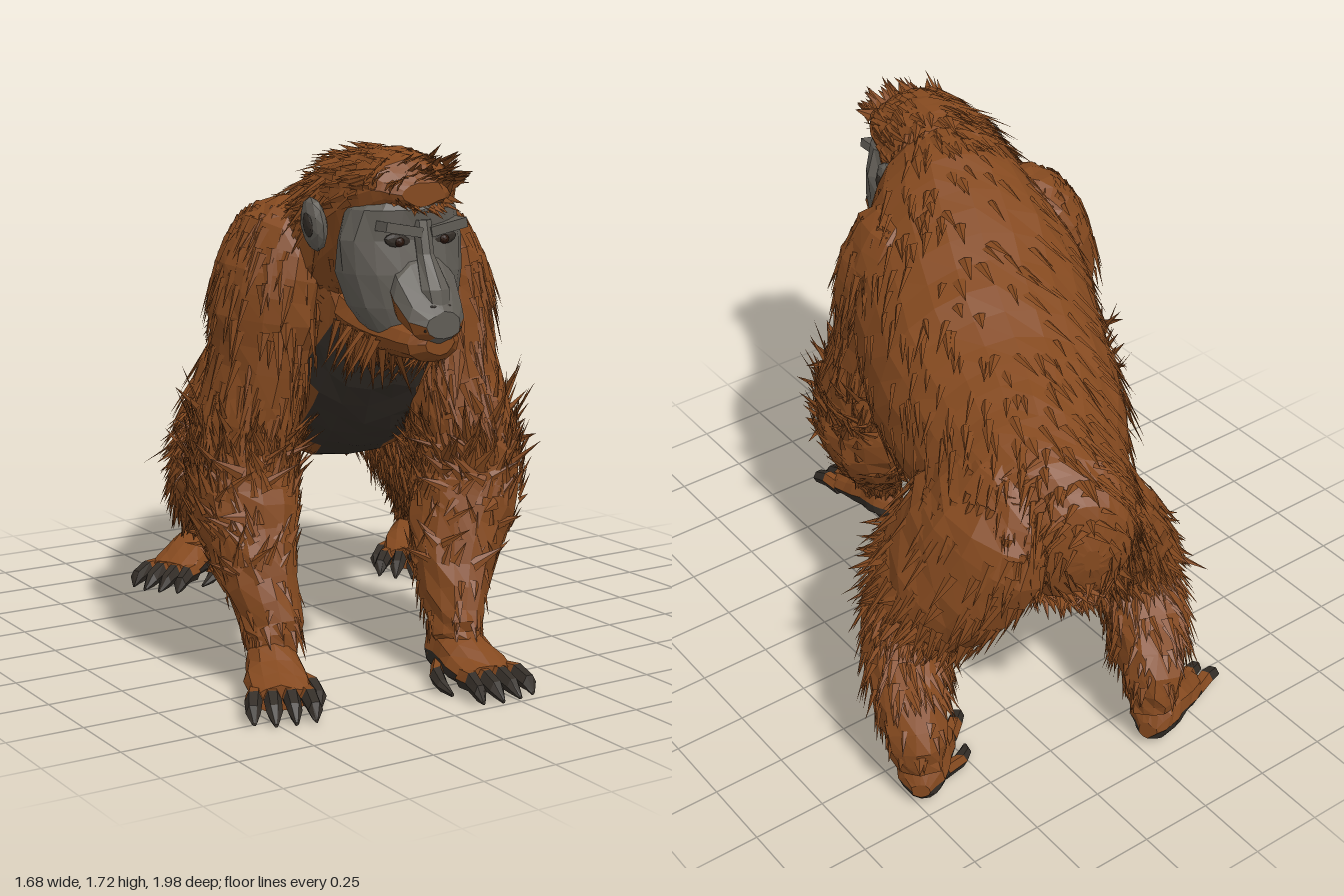
import * as THREE from 'three';

const mat = (name, color) => {
  const m = new THREE.MeshStandardMaterial({ color, flatShading: true, side: THREE.DoubleSide });
  m.name = name;
  return m;
};
const FUR = mat('orange fur', 0x84491f);
const SKIN = mat('grey face skin', 0x605c55);
const DARK = mat('dark skin', 0x332d27);
const EYE = mat('eye brown', 0x2a160c);

let seed = 7;
const rnd = () => ((seed = (seed * 16807) % 2147483647) / 2147483647);
const V = (x, y, z) => new THREE.Vector3(x, y, z);
const UP = V(0, 1, 0), FRONT = V(0, 0, 1);

const meshFrom = (name, pts, material) => {
  const g = new THREE.BufferGeometry().setFromPoints(pts);
  g.computeVertexNormals();
  const m = new THREE.Mesh(g, material);
  m.name = name;
  return m;
};

// Smooth surface through elliptical rings [x, y, z, halfWidth, halfDepth]
function surface(rings, ref, fixed) {
  const mid = new THREE.CatmullRomCurve3(rings.map(r => V(r[0], r[1], r[2])));
  const rad = new THREE.CatmullRomCurve3(rings.map(r => V(r[3], r[4], 0)));
  const at = (u, a) => {
    const c = mid.getPoint(u), r = rad.getPoint(u);
    const t = fixed ? fixed.clone() : mid.getTangent(u);
    const side = t.clone().cross(ref).normalize();
    const up = side.clone().cross(t).normalize();
    const p = c.clone().addScaledVector(side, r.x * Math.cos(a)).addScaledVector(up, r.y * Math.sin(a));
    const n = side.multiplyScalar(Math.cos(a) / r.x).addScaledVector(up, Math.sin(a) / r.y).normalize();
    return { p, n, t, c };
  };
  return { at, count: rings.length };
}

// Faceted skin over a surface; pick() chooses the faces of the second material
function skin(group, name, s, material, { sides = 14, steps = 3, rough = 0.006, pick, second } = {}) {
  const rows = (s.count - 1) * steps, grid = [], main = [], other = [];
  for (let i = 0; i <= rows; i++) {
    grid.push(Array.from({ length: sides }, (_, j) => {
      const q = s.at(i / rows, j / sides * Math.PI * 2);
      return q.p.addScaledVector(q.n, (rnd() - 0.5) * 2 * rough);
    }));
  }
  for (let j = 0; j < sides; j++) {
    const k = (j + 1) % sides;
    for (let i = 0; i < rows; i++) {
      const a = grid[i][j], b = grid[i + 1][j], c = grid[i + 1][k], d = grid[i][k];
      const out = pick && pick((i + 0.5) / rows, (j + 0.5) / sides * Math.PI * 2) ? other : main;
      out.push(a, b, c, a, c, d);
    }
    main.push(s.at(0, 0).c, grid[0][j], grid[0][k], s.at(1, 0).c, grid[rows][k], grid[rows][j]);
  }
  group.add(meshFrom(name, main, material));
  if (other.length) group.add(meshFrom(name + 'SecondColour', other, second));
}

// Pointed tufts of hair scattered over a surface
function tufts(group, name, s, count, o) {
  const { u = [0, 1], a = [0, Math.PI * 2], len = 0.1, wide = 0.017, lift = 0.2, dir = 1, fall = 0 } = o;
  const pts = [];
  for (let i = 0; i < count; i++) {
    const { p, n, t } = s.at(u[0] + rnd() * (u[1] - u[0]), a[0] + rnd() * (a[1] - a[0]));
    const flow = t.clone().multiplyScalar(dir).addScaledVector(UP, -fall)
      .add(V(rnd() - 0.5, rnd() - 0.5, rnd() - 0.5).multiplyScalar(0.5));
    flow.addScaledVector(n, -flow.dot(n)).normalize();
    const w = n.clone().cross(flow).multiplyScalar(wide * (0.7 + rnd() * 0.7));
    const tip = p.clone().addScaledVector(flow.addScaledVector(n, lift * (0.4 + rnd())), len * (0.6 + 0.6 * rnd()));
    const root = p.clone().addScaledVector(n, -0.004), ridge = p.clone().addScaledVector(n, 0.004);
    pts.push(root.clone().sub(w), tip, ridge, ridge, tip, root.clone().add(w));
  }
  group.add(meshFrom(name, pts, FUR));
}

// Long hand or foot with a dark sole and dark finger ends, pointing towards local +z
function paw(name, x, z, yaw, thumb, scale) {
  const g = new THREE.Group();
  g.name = name;
  g.position.set(x, 0, z);
  g.rotation.y = yaw;
  g.scale.set(1, 1, scale);
  const palm = surface([[0, 0.075, -0.11, 0.03, 0.03], [0, 0.095, -0.07, 0.075, 0.08], [0, 0.1, 0, 0.085, 0.09],
    [0, 0.08, 0.1, 0.1, 0.067], [0, 0.055, 0.21, 0.095, 0.04]], UP, FRONT);
  const under = (u, a) => Math.sin(a) < -0.1;
  skin(g, 'palm', palm, FUR, { sides: 12, steps: 2, pick: under, second: DARK });
  for (let i = 0; i < 4; i++) {
    const fx = (i - 1.5) * 0.05, end = 0.34 - Math.abs(i - 1.5) * 0.02;
    const toe = surface([[fx, 0.055, 0.16, 0.027, 0.034], [fx * 1.15, 0.06, 0.23, 0.027, 0.034],
      [fx * 1.25, 0.042, 0.29, 0.024, 0.028], [fx * 1.25, 0.014, end, 0.006, 0.006]], UP, FRONT);
    skin(g, 'toe', toe, DARK, { sides: 6, steps: 1, rough: 0.002, pick: (u, a) => u < 0.34 && !under(u, a), second: FUR });
  }
  const th = surface([[thumb * 0.06, 0.055, 0, 0.03, 0.035], [thumb * 0.115, 0.045, 0.07, 0.027, 0.03],
    [thumb * 0.13, 0.03, 0.13, 0.022, 0.022], [thumb * 0.125, 0.012, 0.18, 0.006, 0.006]], UP, FRONT);
  skin(g, 'thumb', th, DARK, { sides: 6, steps: 1, rough: 0.002, pick: (u, a) => u < 0.34 && !under(u, a), second: FUR });
  return g;
}

function limb(name, rings, isArm) {
  const g = new THREE.Group(), s = surface(rings, FRONT);
  g.name = name;
  skin(g, name + 'Form', s, FUR, { rough: 0.01 });
  tufts(g, 'upperHair', s, 300, { u: [0.06, 0.5], len: 0.14, lift: 0.1, fall: 0.5 });
  tufts(g, 'jointFlare', s, 110, { u: [0.45, 0.58], len: 0.11, lift: 0.5, dir: isArm ? -0.3 : 0.8 });
  tufts(g, 'shaggyHair', s, 260, { u: [0.5, 0.8], len: 0.1, lift: 0.25, dir: isArm ? -0.3 : 0.6, fall: isArm ? 0 : 0.4 });
  tufts(g, 'lowerHair', s, 50, { u: [0.78, 0.93], len: 0.07, lift: 0.1 });
  return g;
}

function makeHead() {
  const g = new THREE.Group();
  g.name = 'head';
  g.position.x = -0.27;
  const add = (name, geo, material, p, sc = [1, 1, 1], rz = 0) => {
    const m = new THREE.Mesh(geo, material);
    m.name = name;
    m.position.set(...p);
    m.scale.set(...sc);
    m.rotation.z = rz;
    g.add(m);
  };
  // Skull hair and fringe
  const skull = surface([[0, 1.575, 0.845, 0.08, 0.035], [0, 1.59, 0.79, 0.16, 0.085], [0, 1.52, 0.66, 0.19, 0.19],
    [0, 1.45, 0.52, 0.21, 0.24], [0, 1.4, 0.4, 0.22, 0.24]], UP, V(0, 0, -1));
  skin(g, 'skull', skull, FUR);
  tufts(g, 'crownHair', skull, 160, { u: [0.2, 1], a: [0, Math.PI], len: 0.1, lift: 0.08, fall: 0.3 });
  tufts(g, 'fringe', skull, 60, { u: [0, 0.3], a: [0.2, 2.9], len: 0.07, lift: 0.45, dir: -0.6 });
  tufts(g, 'browHair', skull, 24, { u: [0, 0.12], a: [3.6, 5.8], len: 0.06, lift: 0.4, dir: -0.6 });
  tufts(g, 'neckHair', skull, 140, { u: [0.62, 1], len: 0.14, lift: 0.08, fall: 2 });
  // Broad face disc
  const face = surface([[0, 1.58, 0.74, 0.12, 0.08], [0, 1.53, 0.73, 0.18, 0.125], [0, 1.44, 0.72, 0.21, 0.12],
    [0, 1.34, 0.72, 0.21, 0.14], [0, 1.24, 0.73, 0.175, 0.14], [0, 1.15, 0.75, 0.12, 0.11],
    [0, 1.1, 0.77, 0.07, 0.06]], FRONT, V(0, -1, 0));
  skin(g, 'face', face, SKIN, { sides: 16, steps: 1, rough: 0.006 });
  // Muzzle with orange whiskers at the sides, nose bridge and bearded jaw
  const muzzle = surface([[0, 1.34, 0.78, 0.1, 0.11], [0, 1.27, 0.86, 0.115, 0.115], [0, 1.21, 0.92, 0.1, 0.08],
    [0, 1.195, 0.955, 0.06, 0.04]], UP, FRONT);
  skin(g, 'muzzle', muzzle, SKIN, { sides: 12, steps: 1, rough: 0.004,
    pick: (u, a) => Math.sin(a) < -0.1 && Math.sin(a) > -0.9, second: FUR });
  const nose = surface([[0, 1.5, 0.83, 0.03, 0.03], [0, 1.4, 0.85, 0.028, 0.03], [0, 1.3, 0.91, 0.05, 0.03],
    [0, 1.25, 0.925, 0.04, 0.02]], FRONT, V(0, -1, 0));
  skin(g, 'nose', nose, SKIN, { sides: 8, steps: 1, rough: 0.001 });
  const jaw = surface([[0, 1.2, 0.58, 0.15, 0.1], [0, 1.165, 0.7, 0.14, 0.085], [0, 1.15, 0.83, 0.12, 0.07],
    [0, 1.14, 0.9, 0.095, 0.06], [0, 1.14, 0.935, 0.05, 0.035]], UP, FRONT);
  skin(g, 'jaw', jaw, FUR, { sides: 12, steps: 2, rough: 0.003 });
  tufts(g, 'beard', jaw, 110, { u: [0, 0.42], a: [Math.PI, Math.PI * 2], len: 0.13, lift: 0.6, dir: -0.5, fall: 2 });
  add('lowerLip', new THREE.IcosahedronGeometry(1, 1), SKIN, [0, 1.165, 0.925], [0.06, 0.022, 0.025]);
  add('mouthLine', new THREE.BoxGeometry(0.13, 0.008, 0.008), DARK, [0, 1.184, 0.947]);
  const ball = new THREE.IcosahedronGeometry(1, 1);
  for (const s of [1, -1]) {
    add('brow', new THREE.BoxGeometry(0.13, 0.03, 0.06), SKIN, [s * 0.08, 1.475, 0.835], [1, 1, 1], s * 0.18);
    add('eyeSocket', ball, DARK, [s * 0.08, 1.44, 0.828], [0.05, 0.022, 0.012], s * 0.15);
    add('eye', ball, EYE, [s * 0.08, 1.437, 0.835], [0.017, 0.015, 0.014]);
    add('nostril', ball, DARK, [s * 0.025, 1.252, 0.936], [0.014, 0.006, 0.008]);
    add('ear', ball, SKIN, [s * 0.22, 1.475, 0.58], [0.035, 0.085, 0.055], s * -0.15);
    add('earHollow', ball, DARK, [s * 0.247, 1.475, 0.59], [0.012, 0.04, 0.025], s * -0.15);
  }
  return g;
}

export function createModel() {
  const model = new THREE.Group();
  model.name = 'ape';

  // Torso from rounded rump to neck, with bare chest
  const torso = new THREE.Group();
  torso.name = 'torso';
  const body = surface([[0.2, 0.88, -0.87, 0.03, 0.04], [0.2, 0.89, -0.83, 0.15, 0.18], [0.2, 0.92, -0.72, 0.24, 0.26],
    [0.17, 0.93, -0.55, 0.31, 0.31], [0.08, 0.96, -0.35, 0.37, 0.34], [0.0, 1.01, -0.1, 0.41, 0.41],
    [-0.1, 1.1, 0.15, 0.42, 0.46], [-0.17, 1.2, 0.34, 0.37, 0.45], [-0.22, 1.3, 0.48, 0.28, 0.37],
    [-0.25, 1.38, 0.58, 0.18, 0.27]], UP, V(-0.36, 0, 0.93).normalize());
  const chest = (u, a) => u > 0.62 && Math.abs(a - Math.PI * 1.5) < 0.2 + (u - 0.6) * 1.8;
  skin(torso, 'body', body, FUR, { sides: 24, rough: 0.008, pick: chest, second: DARK });
  tufts(torso, 'backHair', body, 560, { u: [0.14, 1], a: [-0.6, Math.PI + 0.6], len: 0.14, lift: 0.05, dir: -1, fall: 0.7 });
  tufts(torso, 'rumpHair', body, 160, { u: [0.03, 0.25], len: 0.08, lift: 0.12, dir: -0.3, fall: 1 });
  tufts(torso, 'bellyHair', body, 220, { u: [0.12, 0.6], a: [Math.PI * 1.2, Math.PI * 1.8], len: 0.08, lift: 0.35, dir: -1 });
  model.add(torso, makeHead());

  // Arms
  model.add(limb('leftArm', [[-0.02, 1.5, 0.36, 0.04, 0.05], [0.04, 1.4, 0.37, 0.14, 0.18], [0.09, 1.23, 0.38, 0.17, 0.21],
    [0.1, 1.0, 0.42, 0.16, 0.18], [0.13, 0.75, 0.48, 0.165, 0.19], [0.13, 0.58, 0.5, 0.18, 0.19],
    [0.04, 0.38, 0.57, 0.14, 0.14], [-0.02, 0.2, 0.66, 0.085, 0.1], [-0.03, 0.12, 0.69, 0.075, 0.08]], true));
  model.add(limb('rightArm', [[-0.36, 1.52, 0.3, 0.04, 0.05], [-0.43, 1.42, 0.29, 0.14, 0.18], [-0.48, 1.23, 0.28, 0.17, 0.22],
    [-0.51, 1.0, 0.27, 0.145, 0.19], [-0.55, 0.75, 0.24, 0.165, 0.19], [-0.565, 0.58, 0.27, 0.17, 0.19],
    [-0.58, 0.38, 0.37, 0.125, 0.14], [-0.58, 0.2, 0.47, 0.09, 0.1], [-0.59, 0.12, 0.5, 0.075, 0.08]], true));
  model.add(paw('leftHand', -0.03, 0.68, 0, -1, 0.95), paw('rightHand', -0.61, 0.52, -0.4, 1, 1));

  // Legs
  model.add(limb('leftLeg', [[0.27, 1.16, -0.55, 0.04, 0.06], [0.31, 1.06, -0.54, 0.13, 0.2], [0.37, 0.88, -0.52, 0.19, 0.3],
    [0.46, 0.68, -0.44, 0.19, 0.28], [0.53, 0.5, -0.35, 0.15, 0.18], [0.63, 0.38, -0.47, 0.14, 0.13],
    [0.7, 0.25, -0.61, 0.1, 0.11], [0.71, 0.13, -0.65, 0.075, 0.085]], false));
  model.add(limb('rightLeg', [[0.12, 1.08, -0.62, 0.04, 0.06], [0.08, 0.99, -0.62, 0.12, 0.17], [0.0, 0.85, -0.62, 0.18, 0.23],
    [-0.12, 0.66, -0.6, 0.18, 0.2], [-0.19, 0.5, -0.61, 0.15, 0.14], [-0.16, 0.37, -0.74, 0.14, 0.13],
    [-0.09, 0.24, -0.85, 0.095, 0.11], [-0.08, 0.13, -0.88, 0.075, 0.08]], false));
  model.add(paw('leftFoot', 0.68, -0.62, -0.69, -1, 1), paw('rightFoot', -0.12, -0.87, -1.05, 1, 1));
  return model;
}
